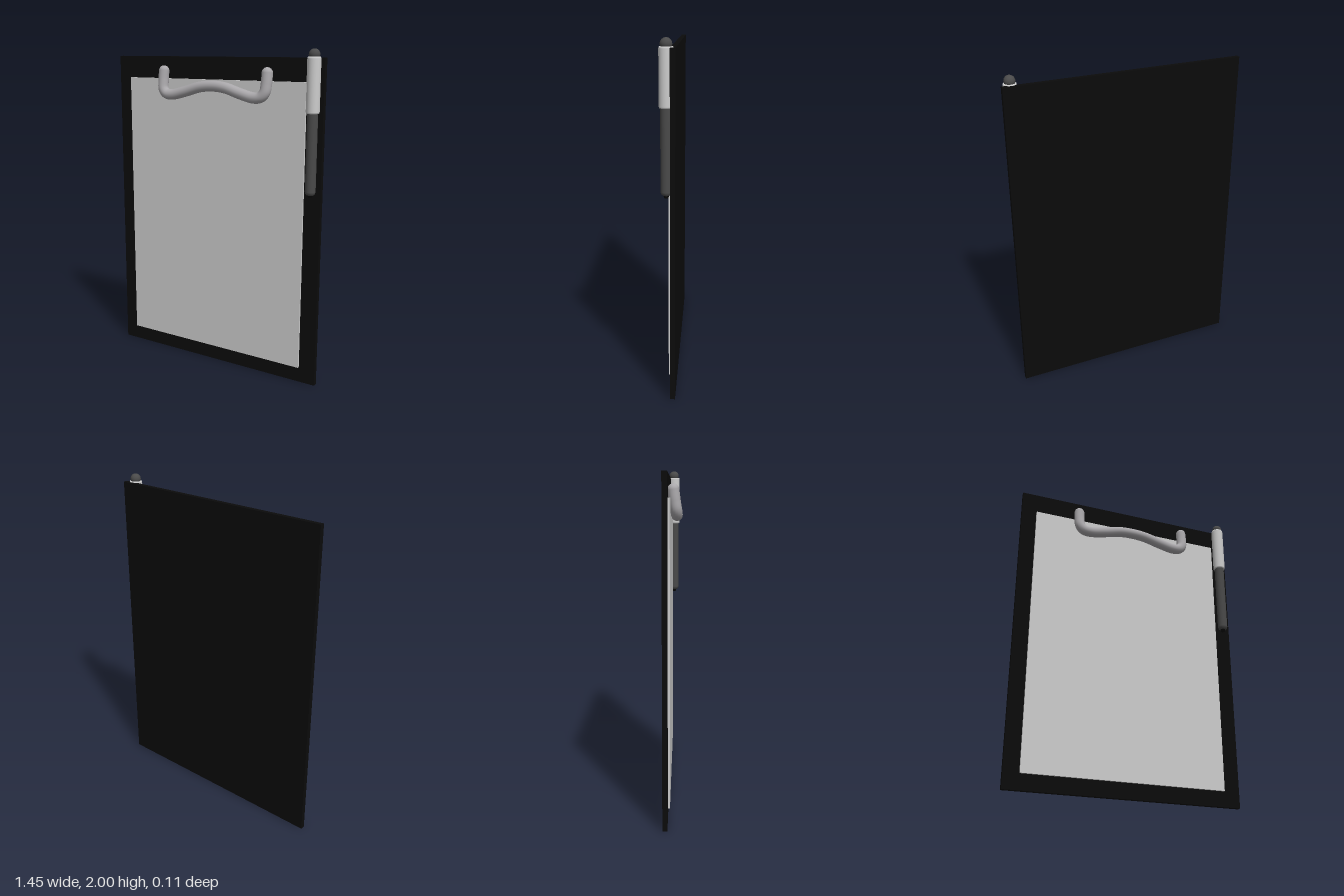
import * as THREE from 'three';

const material = (name, color) => {
  const m = new THREE.MeshStandardMaterial({ color });
  m.name = name;
  return m;
};

export function createModel() {
  const model = new THREE.Group();
  model.name = 'clipboard';
  const black = material('black board', 0x0b0b0b);
  const white = material('white paper', 0xcdcdcd);
  const metal = material('grey metal', 0xaaa8ab);
  const dark = material('dark grey', 0x4a4a4a);

  const add = (parent, name, geometry, mat, x = 0, y = 0, z = 0) => {
    const mesh = new THREE.Mesh(geometry, mat);
    mesh.name = name;
    mesh.position.set(x, y, z);
    parent.add(mesh);
    return mesh;
  };

  // Backing board and sheet
  add(model, 'board', new THREE.BoxGeometry(1.454, 1.95, 0.028), black, -0.002, 0.975, -0.042);
  add(model, 'paper', new THREE.BoxGeometry(1.256, 1.72, 0.012), white, -0.007, 0.955, -0.021);

  // Bent wire clip: one half of the path, mirrored about its middle
  const clip = new THREE.Group();
  clip.name = 'clip';
  clip.position.x = 0.014;
  model.add(clip);
  const r = 0.033;
  const half = [
    [0.367, 1.862, 0], [0.367, 1.8, 0.008], [0.36, 1.75, 0.016], [0.335, 1.724, 0.02],
    [0.29, 1.719, 0.021], [0.2, 1.739, 0.018], [0.09, 1.77, 0.013],
  ];
  const path = [
    ...half.map(([x, y, z]) => new THREE.Vector3(-x, y, z)),
    new THREE.Vector3(0, 1.778, 0.011),
    ...half.slice().reverse().map(([x, y, z]) => new THREE.Vector3(x, y, z)),
  ];
  add(clip, 'clipWire', new THREE.TubeGeometry(new THREE.CatmullRomCurve3(path), 96, r, 16), metal);
  for (const side of [-1, 1]) {
    add(clip, 'clipEnd', new THREE.SphereGeometry(r, 16, 12), metal, side * half[0][0], half[0][1], 0);
  }

  // Pen, turned around its upright axis
  const pen = new THREE.Group();
  pen.name = 'pen';
  pen.position.set(0.67, 0, -0.006);
  model.add(pen);
  const turn = (name, profile, mat) => add(pen, name,
    new THREE.LatheGeometry(profile.map(([x, y]) => new THREE.Vector2(x, y)), 24), mat);
  turn('penTip', [[0, 1.164], [0.012, 1.166], [0.018, 1.19]], black);
  turn('penGrip', [[0, 1.178], [0.02, 1.18], [0.028, 1.188], [0.031, 1.2], [0.031, 1.65]], dark);
  turn('penBarrel', [[0.028, 1.643], [0.036, 1.644], [0.039, 1.652], [0.039, 1.945],
    [0.036, 1.955], [0, 1.956]], white);
  add(pen, 'penButton', new THREE.SphereGeometry(0.032, 20, 14), dark, 0, 1.968, 0);

  return model;
}
